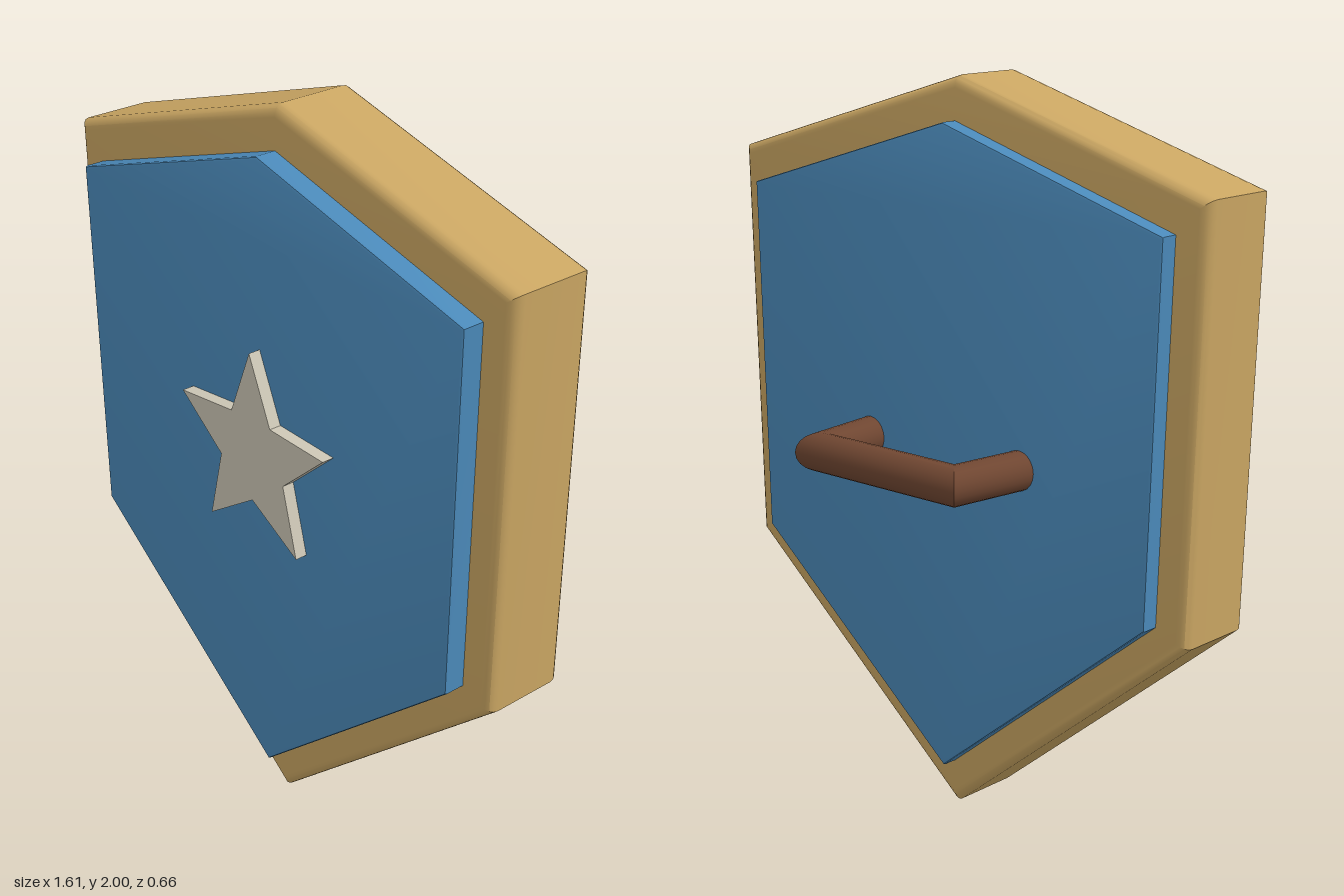
import * as THREE from 'three';
import { toCreasedNormals } from 'three/addons/utils/BufferGeometryUtils.js';

// Closed outline from a list of [x, y] corners
const outline = (points) => new THREE.Shape(points.map(([x, y]) => new THREE.Vector2(x, y)));

// Five-sided-top shield outline, mirrored from its +x half
function shieldOutline(top, shoulder, hip, tip) {
  return outline([
    [0, tip], hip, shoulder, [0, top],
    [-shoulder[0], shoulder[1]], [-hip[0], hip[1]],
  ]);
}

// Slab between two z planes with rounded edges kept inside the outline
function slab(shape, zBack, zFront, bevel, segments) {
  const geometry = new THREE.ExtrudeGeometry(shape, {
    depth: zFront - zBack - 2 * bevel,
    bevelEnabled: bevel > 0,
    bevelThickness: bevel,
    bevelSize: bevel,
    bevelOffset: -bevel,
    bevelSegments: segments,
  });
  geometry.translate(0, 0, zBack + bevel);
  return toCreasedNormals(geometry, 0.5);
}

// Round bar with mitred corners: each ring has a centre and a sideways vector in xz
function mitredBar(rings, y, radius, sides) {
  const geometry = new THREE.CylinderGeometry(1, 1, 1, sides, rings.length - 1, true);
  const pos = geometry.attributes.position;
  for (let i = 0; i < pos.count; i++) {
    const ring = rings[Math.floor(i / (sides + 1))];
    const a = ((i % (sides + 1)) / sides) * Math.PI * 2;
    const c = Math.cos(a);
    pos.setXYZ(i, ring.x + c * ring.dx, y + Math.sin(a) * radius, ring.z + c * ring.dz);
  }
  return toCreasedNormals(geometry, 0.6);
}

export function createModel() {
  const gold = new THREE.MeshStandardMaterial({ name: 'gold', color: 0xc9a562 });
  const blue = new THREE.MeshStandardMaterial({ name: 'blue', color: 0x4b8aba });
  const silver = new THREE.MeshStandardMaterial({ name: 'pale silver', color: 0xcbc5b4 });
  const brown = new THREE.MeshStandardMaterial({ name: 'brown', color: 0x6f4631, side: THREE.DoubleSide });

  const model = new THREE.Group();
  model.name = 'shield';
  const add = (name, geometry, material) => {
    const mesh = new THREE.Mesh(geometry, material);
    mesh.name = name;
    model.add(mesh);
  };

  // Rim and the panel that stands proud of it on both sides
  const rim = shieldOutline(2, [0.805, 1.76], [0.77, 0.64], 0.005);
  add('rim', slab(rim, -0.017, 0.233, 0.03, 4), gold);
  const panel = shieldOutline(1.885, [0.708, 1.67], [0.678, 0.683], 0.13);
  add('panel', slab(panel, -0.066, 0.294, 0.008, 2), blue);

  // Star emblem
  const star = [];
  for (let i = 0; i < 10; i++) {
    const r = i % 2 ? 0.128 : 0.288;
    const a = Math.PI / 2 + (i * Math.PI) / 5;
    star.push([r * Math.cos(a), 1.09 + r * Math.sin(a)]);
  }
  add('star', slab(outline(star), 0.28, 0.329, 0, 1), silver);

  // Grip on the back, sunk slightly into the panel
  add('handle', mitredBar([
    { x: -0.27, z: -0.03, dx: -0.05, dz: 0 },
    { x: -0.265 + 0.025, z: -0.28, dx: -0.045, dz: -0.05 },
    { x: 0.24, z: -0.28, dx: -0.045, dz: 0.05 },
    { x: 0.27, z: -0.03, dx: -0.05, dz: 0 },
  ].map((r, i) => (i < 2 ? r : { ...r, dx: -r.dx, dz: -r.dz }))
    .map((r, i) => (i < 2 ? { ...r, dx: -r.dx, dz: -r.dz } : r))
    .map((r, i) => (i < 2 ? r : { ...r, dx: -r.dx, dz: -r.dz })), 1.02, 0.053, 20), brown);

  return model;
}
